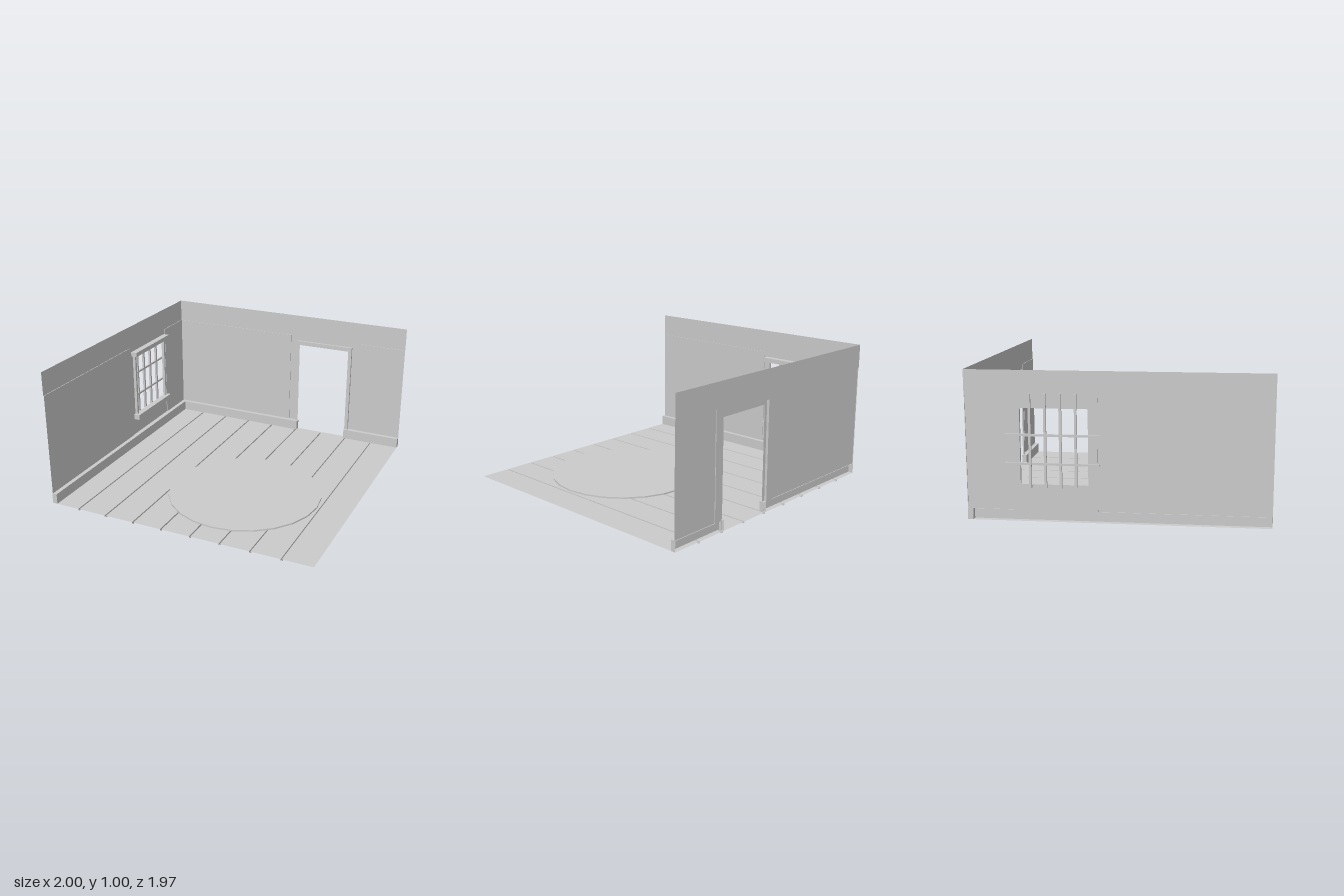
import * as THREE from 'three';
import { mergeGeometries } from 'three/addons/utils/BufferGeometryUtils.js';

const material = new THREE.MeshStandardMaterial({ color: 0xcccccc, side: THREE.DoubleSide, flatShading: true });

const FLOOR = 0.012, SKIRT_TOP = 0.087, SKIRT_DEPTH = 0.037, STEP = 0.005;
const BACK = -0.985, LEFT = -0.972, FRONT = 0.985, RIGHT = 1;

function addMesh(parent, name, geometry) {
  const mesh = new THREE.Mesh(geometry, material);
  mesh.name = name;
  parent.add(mesh);
  return mesh;
}

// Flat rectangle between two corners that share one coordinate
function sheet(x0, x1, y0, y1, z0, z1) {
  let geometry;
  if (x0 === x1) geometry = new THREE.PlaneGeometry(Math.abs(z1 - z0), y1 - y0).rotateY(Math.PI / 2);
  else if (y0 === y1) geometry = new THREE.PlaneGeometry(x1 - x0, Math.abs(z1 - z0)).rotateX(-Math.PI / 2);
  else geometry = new THREE.PlaneGeometry(x1 - x0, y1 - y0);
  return geometry.translate((x0 + x1) / 2, (y0 + y1) / 2, (z0 + z1) / 2);
}

function box(x0, x1, y0, y1, z0, z1) {
  return new THREE.BoxGeometry(x1 - x0, y1 - y0, z1 - z0)
    .translate((x0 + x1) / 2, (y0 + y1) / 2, (z0 + z1) / 2);
}

// Thin wall facing local +z, with an opening and shallow raised panels beside its surround
function wall(x0, x1, zone, hole) {
  const parts = [
    sheet(x0, x1, zone.top, 1, 0, 0),
    sheet(zone.x0, hole.x0, SKIRT_TOP, zone.top, 0, 0),
    sheet(hole.x1, zone.x1, SKIRT_TOP, zone.top, 0, 0),
    sheet(hole.x0, hole.x1, hole.y1, zone.top, 0, 0),
  ];
  if (hole.y0 > SKIRT_TOP) parts.push(sheet(hole.x0, hole.x1, SKIRT_TOP, hole.y0, 0, 0));
  for (const [a, b, edge] of [[x0, zone.x0, zone.x0], [zone.x1, x1, zone.x1]]) {
    parts.push(
      sheet(a, b, SKIRT_TOP, zone.top, STEP, STEP),
      sheet(a, b, zone.top, zone.top, 0, STEP),
      sheet(edge, edge, SKIRT_TOP, zone.top, 0, STEP));
  }
  return mergeGeometries(parts);
}

// Skirting shell: face, top ledge and two ends, open behind
function skirting(x0, x1) {
  return mergeGeometries([
    sheet(x0, x1, FLOOR, SKIRT_TOP, SKIRT_DEPTH, SKIRT_DEPTH),
    sheet(x0, x1, SKIRT_TOP, SKIRT_TOP, 0, SKIRT_DEPTH),
    sheet(x0, x0, FLOOR, SKIRT_TOP, 0, SKIRT_DEPTH),
    sheet(x1, x1, FLOOR, SKIRT_TOP, 0, SKIRT_DEPTH),
  ]);
}

function buildFloor() {
  // Planks with narrow sunken grooves between them
  const count = 9, pitch = (RIGHT - LEFT) / count, gap = 0.005;
  const parts = [];
  for (let i = 0; i < count; i++) {
    const a = LEFT + i * pitch + (i > 0 ? gap : 0);
    const b = LEFT + (i + 1) * pitch - (i < count - 1 ? gap : 0);
    parts.push(sheet(a, b, FLOOR, FLOOR, BACK, FRONT));
    if (i < count - 1) {
      const c = b + 2 * gap;
      parts.push(
        sheet(b, c, 0, 0, BACK, FRONT),
        sheet(b, b, 0, FLOOR, BACK, FRONT),
        sheet(c, c, 0, FLOOR, BACK, FRONT));
    }
  }
  return mergeGeometries(parts);
}

function buildBackWall() {
  const group = new THREE.Group();
  group.name = 'backWall';
  group.position.z = BACK;
  const outer = { x0: 0.108, x1: 0.573, y0: FLOOR, y1: 0.792 };
  const inner = { x0: 0.133, x1: 0.546, y1: 0.76 };
  addMesh(group, 'backWallPanel', wall(LEFT, RIGHT, { x0: 0.05, x1: 0.635, top: 0.83 }, outer));
  addMesh(group, 'backSkirtingRight', skirting(LEFT, inner.x0));
  addMesh(group, 'backSkirtingLeft', skirting(inner.x1, RIGHT));
  // Door frame shell: face plus outer rim
  const d = 0.018;
  addMesh(group, 'doorFrame', mergeGeometries([
    sheet(outer.x0, inner.x0, FLOOR, outer.y1, d, d),
    sheet(inner.x1, outer.x1, FLOOR, outer.y1, d, d),
    sheet(inner.x0, inner.x1, inner.y1, outer.y1, d, d),
    sheet(outer.x0, outer.x0, FLOOR, outer.y1, 0, d),
    sheet(outer.x1, outer.x1, FLOOR, outer.y1, 0, d),
    sheet(outer.x0, outer.x1, outer.y1, outer.y1, 0, d),
  ]));
  return group;
}

function buildSideWall() {
  // Local x runs towards the back of the room, local z into the room
  const group = new THREE.Group();
  group.name = 'sideWall';
  group.rotation.y = Math.PI / 2;
  group.position.x = LEFT;
  const hole = { x0: 0.187, x1: 0.627, y0: 0.26, y1: 0.757 };
  addMesh(group, 'sideWallPanel', wall(-FRONT, -BACK, { x0: 0.125, x1: 0.68, top: 0.83 }, hole));
  addMesh(group, 'sideSkirting', skirting(-FRONT, -BACK - SKIRT_DEPTH));

  // Window surround
  addMesh(group, 'windowLintel', box(0.147, 0.668, 0.757, 0.791, 0, 0.048));
  addMesh(group, 'windowSill', box(0.147, 0.668, 0.219, 0.26, 0, 0.048));
  addMesh(group, 'windowPostFront', box(0.167, hole.x0, 0.26, 0.757, 0, 0.022));
  addMesh(group, 'windowPostBack', box(hole.x1, 0.646, 0.26, 0.757, 0, 0.022));

  // Outside grille
  for (let i = 0; i < 4; i++) {
    const x = 0.262 + i * 0.0985;
    addMesh(group, 'verticalBar', box(x - 0.008, x + 0.008, 0.242, 0.855, -0.028, -0.012));
  }
  for (const y of [0.4, 0.587])
    addMesh(group, 'horizontalBar', box(0.11, 0.72, y - 0.007, y + 0.007, -0.026, -0.011));
  return group;
}

export function createModel() {
  const room = new THREE.Group();
  room.name = 'roomCorner';
  addMesh(room, 'floorPlanks', buildFloor());
  room.add(buildBackWall(), buildSideWall());
  const rug = addMesh(room, 'rug', new THREE.CylinderGeometry(0.555, 0.555, 0.011, 24));
  rug.position.set(0.205, FLOOR + 0.0055, 0.27);
  return room;
}
